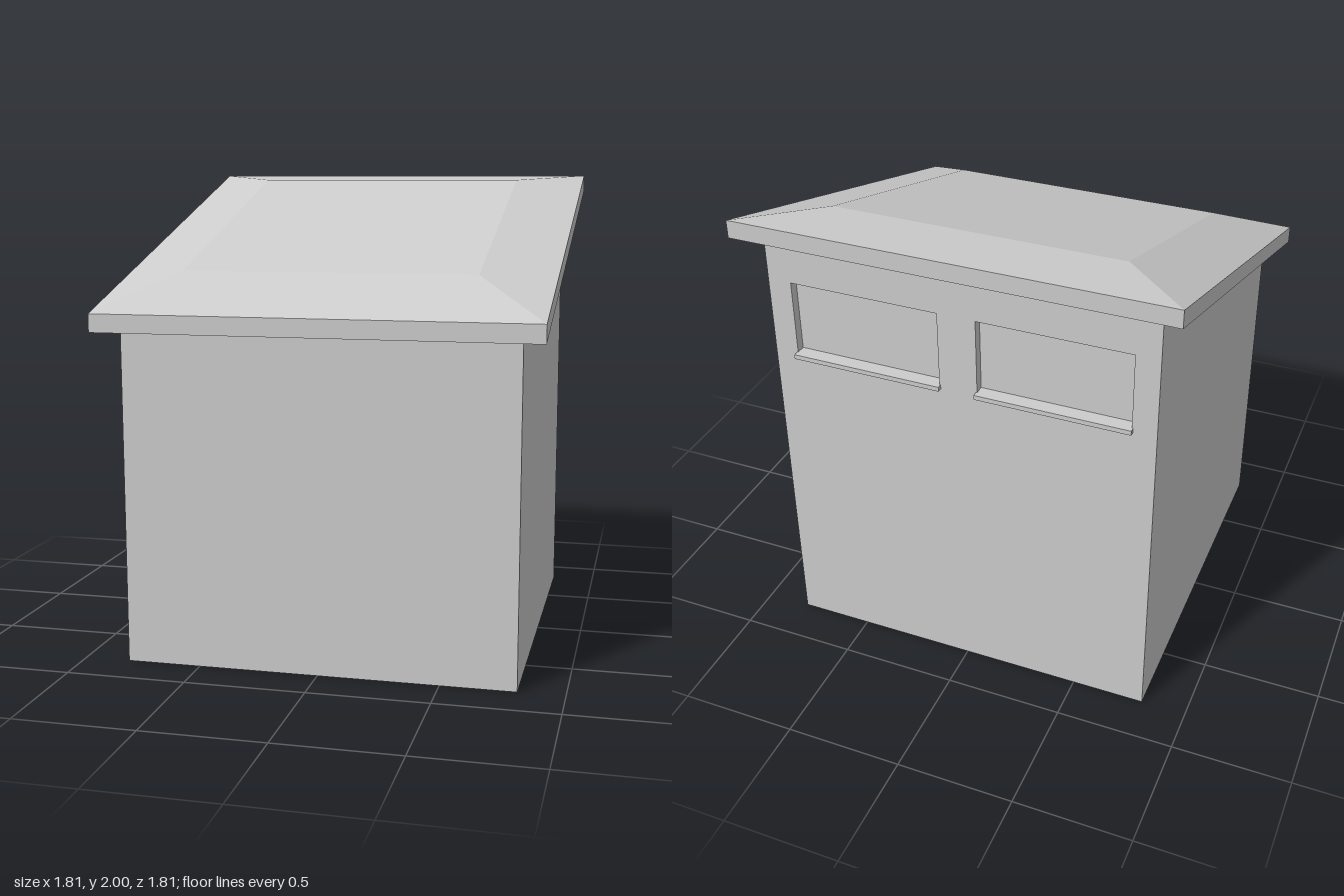
import * as THREE from 'three';

const material = new THREE.MeshStandardMaterial({ color: 0xcccccc, flatShading: true });
const HALF = 0.81;      // half width of the walls
const RECESS = 0.04;    // depth of the window recesses
const SLOPE = 0.3;      // the roof rises towards the back
const eaveY = z => 1.655 - SLOPE * z;

function addMesh(parent, name, geometry) {
  const mesh = new THREE.Mesh(geometry, material);
  mesh.name = name;
  parent.add(mesh);
  return mesh;
}

function polygon(points) {
  return new THREE.Shape(points.map(([x, y]) => new THREE.Vector2(x, y)));
}

// Closed loft through square rings, each given by half size and a height rule
function loftSquares(rings) {
  const corners = [[-1, 1], [1, 1], [1, -1], [-1, -1]];
  const points = rings.map(({ half, y }) =>
    corners.map(([x, z]) => [x * half, y(z * half), z * half]));
  const positions = [];
  const quad = (a, b, c, d) => positions.push(...a, ...b, ...c, ...a, ...c, ...d);
  for (let r = 0; r < points.length - 1; r++) {
    for (let i = 0; i < 4; i++) {
      const j = (i + 1) % 4;
      quad(points[r][i], points[r][j], points[r + 1][j], points[r + 1][i]);
    }
  }
  quad(...points[points.length - 1]);
  quad(...[...points[0]].reverse());
  const geometry = new THREE.BufferGeometry();
  geometry.setAttribute('position', new THREE.Float32BufferAttribute(positions, 3));
  geometry.computeVertexNormals();
  return geometry;
}

export function createModel() {
  const model = new THREE.Group();
  model.name = 'shed';

  // Main body: side profile with a sloping top, extruded across the width
  const inner = HALF - RECESS;
  const profile = polygon([
    [-HALF, 0], [inner, 0], [inner, eaveY(-inner)], [-HALF, eaveY(HALF)],
  ]);
  const bodyGeometry = new THREE.ExtrudeGeometry(profile, { depth: 2 * HALF, bevelEnabled: false });
  bodyGeometry.translate(0, 0, -HALF);
  bodyGeometry.rotateY(Math.PI / 2);
  addMesh(model, 'body', bodyGeometry);

  // Back wall layer with two window openings
  const top = eaveY(-HALF);
  const wall = polygon([[-HALF, 0], [HALF, 0], [HALF, top], [-HALF, top]]);
  const windowX = 0.395, windowHalf = 0.315, sillTop = 1.4, windowTop = 1.72;
  for (const side of [-1, 1]) {
    const x0 = side * windowX - windowHalf, x1 = side * windowX + windowHalf;
    wall.holes.push(polygon([[x0, sillTop], [x0, windowTop], [x1, windowTop], [x1, sillTop]]));
  }
  const wallGeometry = new THREE.ExtrudeGeometry(wall, { depth: RECESS, bevelEnabled: false });
  addMesh(model, 'backWall', wallGeometry).position.z = -HALF;

  // Window sills
  for (const side of [-1, 1]) {
    const sill = addMesh(model, side > 0 ? 'leftWindowSill' : 'rightWindowSill',
      new THREE.BoxGeometry(2 * windowHalf + 0.01, 0.02, 0.04));
    sill.position.set(side * windowX, sillTop - 0.01, -HALF - 0.002);
  }

  // Sloping roof slab with a raised, bevelled top
  addMesh(model, 'roof', loftSquares([
    { half: 0.905, y: eaveY },
    { half: 0.905, y: z => eaveY(z) + 0.075 },
    { half: 0.61, y: z => eaveY(z) + 0.143 },
  ]));

  return model;
}
